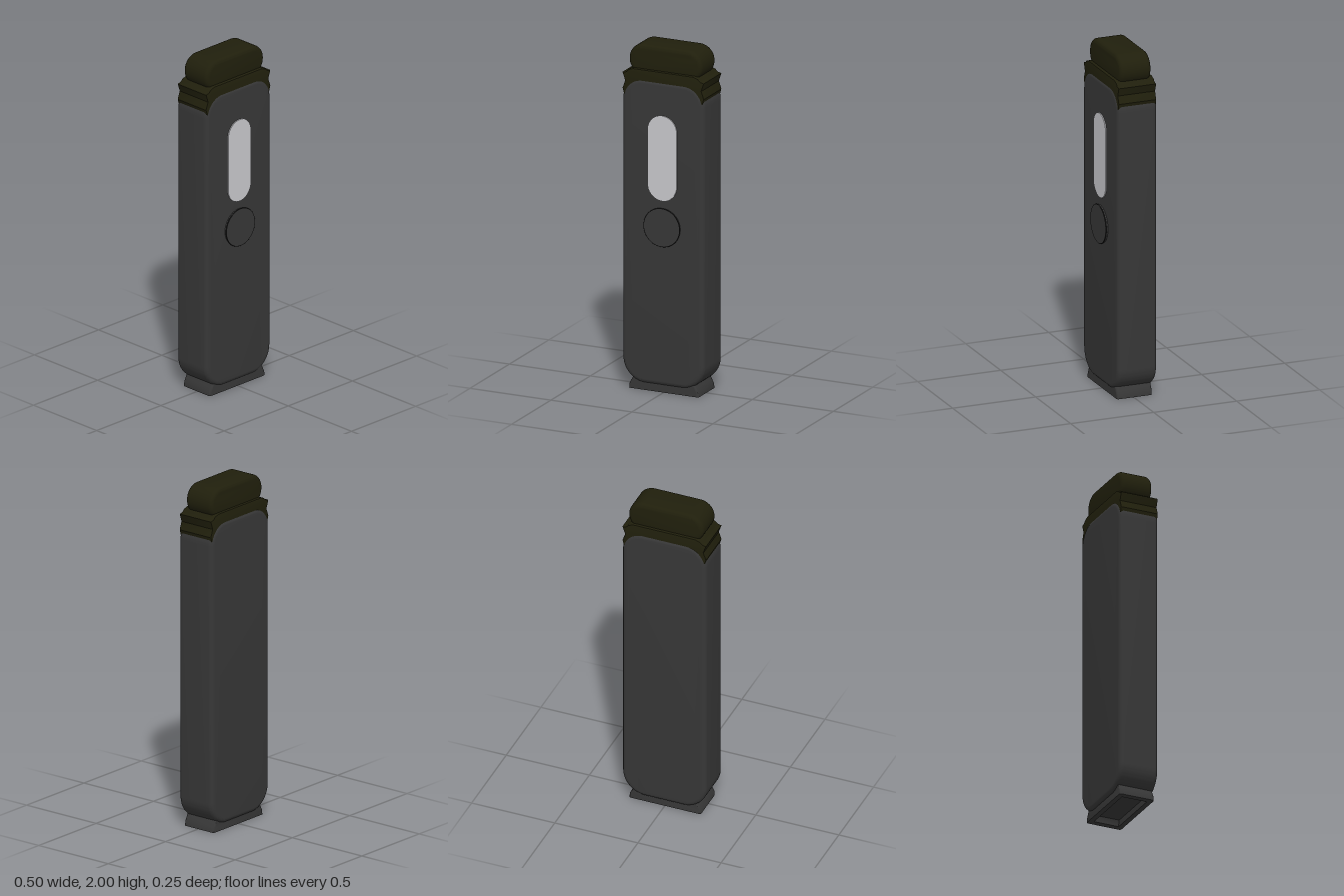
import * as THREE from 'three';
import { toCreasedNormals } from 'three/addons/utils/BufferGeometryUtils.js';

const material = (name, color) => new THREE.MeshStandardMaterial({ name, color });

// Rounded rectangle; separate radii for the lower and upper corners
function roundedRect(x, y0, y1, rLow, rHigh = rLow) {
  const s = new THREE.Shape();
  s.absarc(x - rLow, y0 + rLow, rLow, -Math.PI / 2, 0);
  s.absarc(x - rHigh, y1 - rHigh, rHigh, 0, Math.PI / 2);
  s.absarc(-x + rHigh, y1 - rHigh, rHigh, Math.PI / 2, Math.PI);
  s.absarc(-x + rLow, y0 + rLow, rLow, Math.PI, Math.PI * 1.5);
  s.closePath();
  return s;
}

// Extrude between two depths; the bevel stays inside the outline
function slab(shape, z0, z1, bevel, segments = 5) {
  const g = new THREE.ExtrudeGeometry(shape, {
    depth: z1 - z0 - 2 * bevel, bevelEnabled: bevel > 0, bevelThickness: bevel,
    bevelSize: bevel, bevelOffset: -bevel, bevelSegments: segments, curveSegments: 14,
  });
  g.translate(0, 0, z0 + bevel);
  return toCreasedNormals(g, 0.6);
}

export function createModel() {
  const group = new THREE.Group();
  const shell = material('charcoal shell', 0x373737);
  const olive = material('dark olive', 0x201f0c);
  const glass = material('pale window', 0xc8c8cc);
  const seam = material('black seam', 0x191919);

  const add = (name, geometry, mat) => {
    const mesh = new THREE.Mesh(geometry, mat);
    mesh.name = name;
    group.add(mesh);
    return mesh;
  };

  // Main shell
  add('body', slab(roundedRect(0.252, 0.04, 1.81, 0.14, 0.125), -0.128, 0.11, 0.026), shell);

  // Flared collar, mirrored from its right edge
  const edge = [[0.235, 1.68], [0.252, 1.74], [0.236, 1.785], [0.252, 1.832],
    [0.228, 1.838], [0.215, 1.852], [0.185, 1.862]];
  const outline = [...edge, ...edge.map(([x, y]) => [-x, y]).reverse()];
  const collarShape = new THREE.Shape(outline.map(([x, y]) => new THREE.Vector2(x, y)));
  add('collar', slab(collarShape, -0.122, 0.106, 0.006, 2), olive);

  // Mouthpiece cap
  add('cap', slab(roundedRect(0.225, 1.82, 2.0, 0.089), -0.105, 0.086, 0.026), olive);

  // Hollow foot, narrowing upward in x
  const foot = roundedRect(0.216, -0.1, 0.112, 0.012);
  foot.holes.push(new THREE.Path([[-0.18, -0.07], [-0.18, 0.082], [0.18, 0.082], [0.18, -0.07]]
    .map(([x, y]) => new THREE.Vector2(x, y))));
  const footGeo = new THREE.ExtrudeGeometry(foot, { depth: 0.075, steps: 3, bevelEnabled: false });
  footGeo.rotateX(-Math.PI / 2);
  const p = footGeo.attributes.position;
  for (let i = 0; i < p.count; i++) {
    const t = Math.max(0, p.getY(i) - 0.02) / 0.055;
    p.setX(i, p.getX(i) * (1 - 0.13 * t));
  }
  add('foot', toCreasedNormals(footGeo, 0.6), shell);

  // Floor of the foot recess
  const floor = add('footRecess', new THREE.BoxGeometry(0.36, 0.006, 0.16), shell);
  floor.position.set(0, 0.04, -0.006);

  // Front window
  add('window', slab(roundedRect(0.088, 1.12, 1.612, 0.0875), 0.108, 0.116, 0), glass);

  // Round button with a dark rim
  const button = add('button', new THREE.CylinderGeometry(0.109, 0.109, 0.02, 64), shell);
  button.rotation.x = Math.PI / 2;
  button.position.set(0, 0.965, 0.115);
  const rim = add('buttonRim', new THREE.TorusGeometry(0.109, 0.004, 8, 64), seam);
  rim.position.set(0, 0.965, 0.121);

  return group;
}
